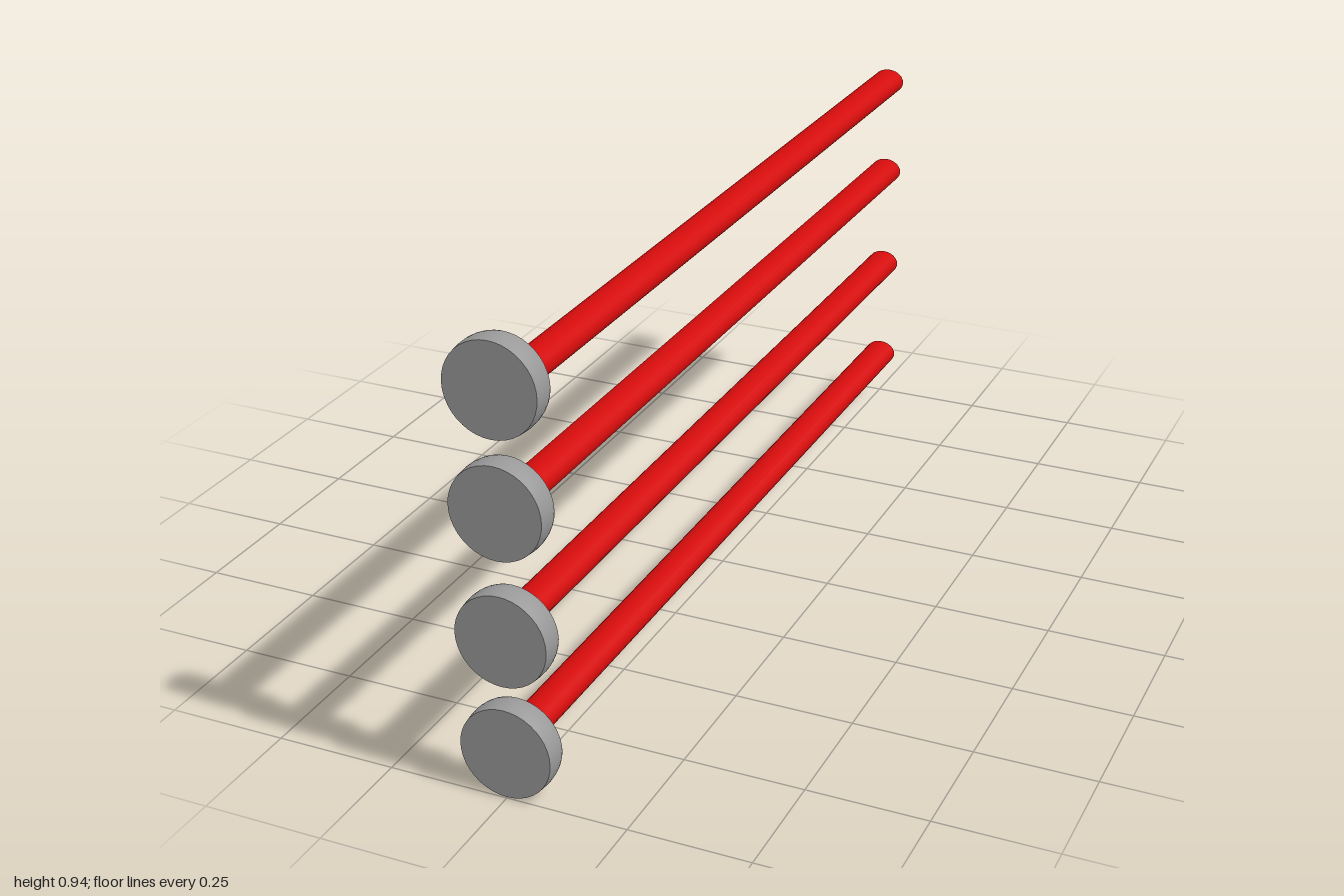
import * as THREE from 'three';

export function createModel() {
  const model = new THREE.Group();
  const red = new THREE.MeshStandardMaterial({ color: 0xd40c0c });
  red.name = 'red';
  const grey = new THREE.MeshStandardMaterial({ color: 0x999999 });
  grey.name = 'grey';

  // Knob: a flat disc with a softly bulging rim, its axis along z
  const rim = new THREE.SplineCurve([
    [0.086, 0.94], [0.092, 0.946], [0.096, 0.962], [0.0965, 0.98], [0.0945, 1],
  ].map(([r, z]) => new THREE.Vector2(r, z))).getPoints(8);
  const rimGeometry = new THREE.LatheGeometry(rim, 40).rotateX(Math.PI / 2);
  const frontGeometry = new THREE.CircleGeometry(0.0945, 40).translate(0, 0, 1);
  const backGeometry = new THREE.CircleGeometry(0.086, 40).rotateY(Math.PI).translate(0, 0, 0.94);

  // Rod: a long bar of oval section reaching into the knob
  const rodGeometry = new THREE.CylinderGeometry(1, 1, 1.95, 24)
    .rotateX(Math.PI / 2)
    .scale(0.037, 0.029, 1)
    .translate(0, 0, -0.025);

  // Four pins stacked vertically: [knob height, rod height]
  const pins = [[0.098, 0.107], [0.338, 0.354], [0.6, 0.598], [0.841, 0.827]];
  pins.forEach(([knobY, rodY], i) => {
    const pin = new THREE.Group();
    pin.name = `pin${i + 1}`;

    const knob = new THREE.Group();
    knob.name = 'knob';
    const parts = { knobRim: rimGeometry, knobFront: frontGeometry, knobBack: backGeometry };
    for (const [name, geometry] of Object.entries(parts)) {
      const mesh = new THREE.Mesh(geometry, grey);
      mesh.name = name;
      knob.add(mesh);
    }
    knob.position.y = knobY;

    const rod = new THREE.Mesh(rodGeometry, red);
    rod.name = 'rod';
    rod.position.y = rodY;

    pin.add(knob, rod);
    model.add(pin);
  });
  return model;
}
